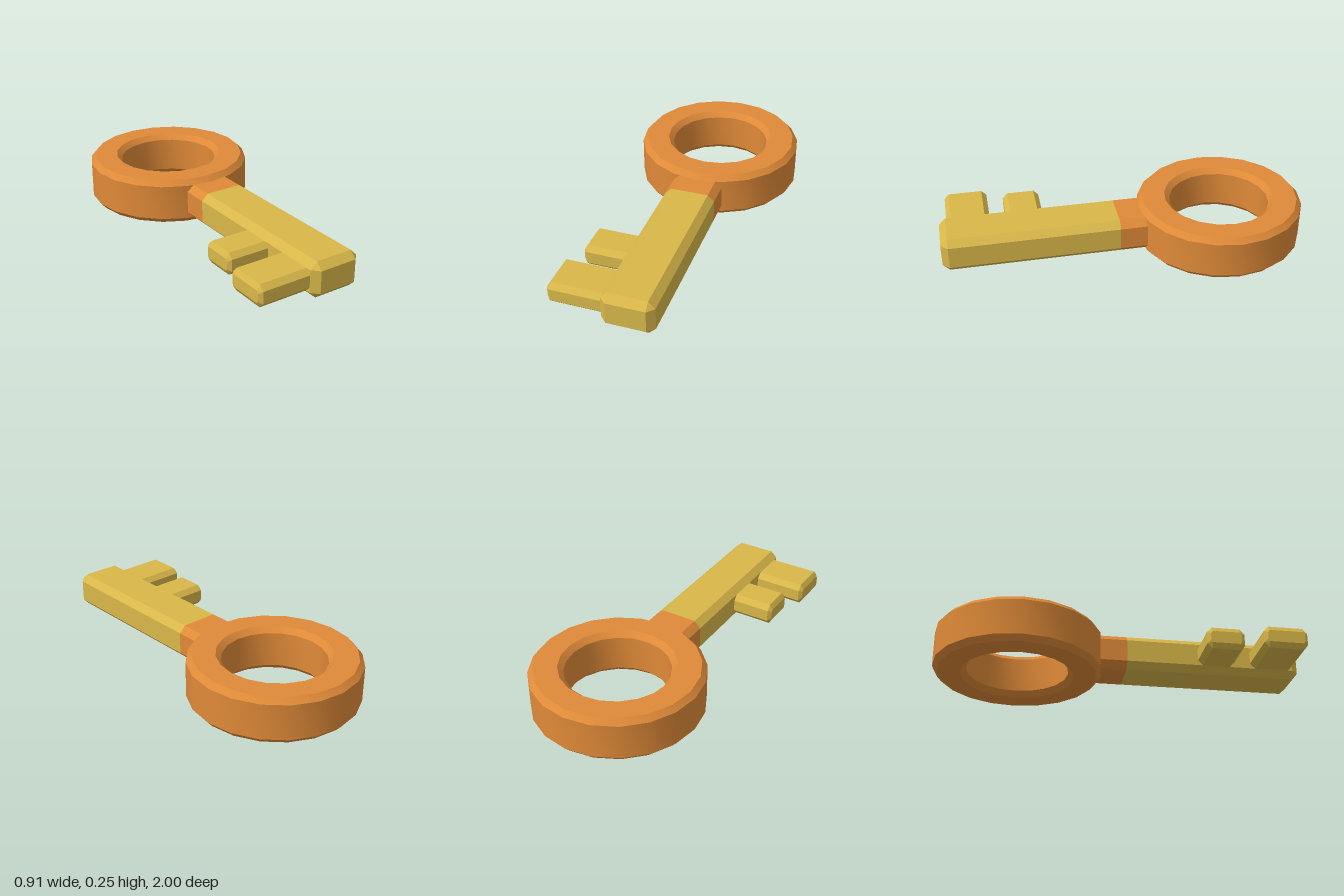
import * as THREE from 'three';
import { ConvexGeometry } from 'three/addons/geometries/ConvexGeometry.js';
import { toCreasedNormals } from 'three/addons/utils/BufferGeometryUtils.js';

const MID_Y = 0.128; // height of the key's centre plane

// Eight corners of a rectangle with its corners cut: half sizes a, b and cuts ca, cb
function octagon(a, b, ca, cb) {
  const corners = [];
  for (const s of [-1, 1]) {
    for (const t of [-1, 1]) {
      corners.push([s * a, t * (b - cb)], [s * (a - ca), t * b]);
    }
  }
  return corners;
}

export function createModel() {
  const key = new THREE.Group();
  key.name = 'key';

  const orange = new THREE.MeshStandardMaterial({ color: 0xdf8a38 });
  orange.name = 'orange';
  const gold = new THREE.MeshStandardMaterial({ color: 0xd8b749 });
  gold.name = 'gold';

  function add(name, geometry, material) {
    const mesh = new THREE.Mesh(geometry, material);
    mesh.name = name;
    key.add(mesh);
    return mesh;
  }

  // Ring-shaped bow with bevelled rims
  const profile = [
    [0.43, 0], [0.457, 0.03], [0.457, 0.225], [0.43, 0.255],
    [0.305, 0.255], [0.276, 0.225], [0.276, 0.03], [0.305, 0], [0.43, 0],
  ].map(([r, y]) => new THREE.Vector2(r, y));
  const ring = add('bow', toCreasedNormals(new THREE.LatheGeometry(profile, 20), 0.5), orange);
  ring.position.z = -0.543;

  // Shaft pieces are hulls between cross-sections along z
  const alongZ = (section, z) => section.map(([x, y]) => new THREE.Vector3(x, MID_Y + y, z));
  const shaftSection = octagon(0.14, 0.097, 0.036, 0.036);
  add('collar', new ConvexGeometry([
    ...alongZ(shaftSection, -0.2), ...alongZ(shaftSection, 0.04),
  ]), orange);
  add('shaft', new ConvexGeometry([
    ...alongZ(shaftSection, 0.04), ...alongZ(shaftSection, 0.963),
    ...alongZ([[-0.104, -0.061], [0.104, -0.061], [-0.104, 0.061], [0.104, 0.061]], 1),
  ]), gold);

  // Two teeth on the right side, each with a tapered tip
  const teeth = [
    { name: 'shortTooth', tip: -0.373, z: 0.532, half: 0.102 },
    { name: 'longTooth', tip: -0.428, z: 0.842, half: 0.119 },
  ];
  for (const { name, tip, z, half } of teeth) {
    const alongX = (section, x) => section.map(([dz, y]) => new THREE.Vector3(x, MID_Y + y, z + dz));
    const body = octagon(half, 0.061, 0.027, 0.028);
    const end = octagon(half - 0.018, 0.033, 0.009, 0.015);
    add(name, new ConvexGeometry([
      ...alongX(body, -0.12), ...alongX(body, tip + 0.018), ...alongX(end, tip),
    ]), gold);
  }

  return key;
}
